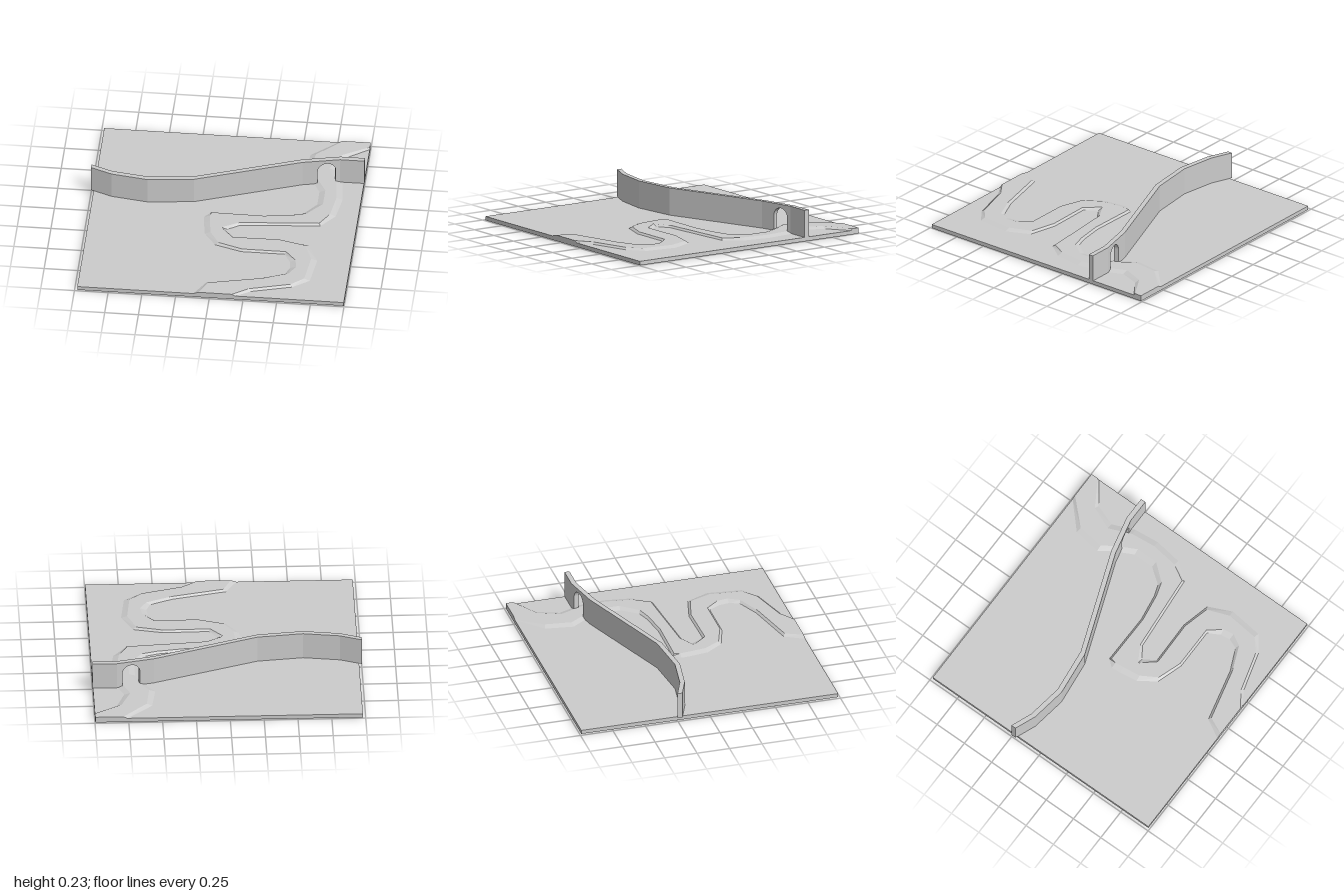
import * as THREE from 'three';

const GROUND = 0.03, PATH_TOP = 0.044, WALL_TOP = 0.235;
const X0 = -0.98, X1 = 0.997, ZE = 0.988;
const material = new THREE.MeshStandardMaterial({ color: 0xcccccc, flatShading: true });

function mesh(name, geometry) {
  const m = new THREE.Mesh(geometry, material);
  m.name = name;
  return m;
}

// Foot of each bank as [x, z]: left side north to south, right side south to north
const leftBank = [[0.76, -ZE], [0.57, -0.81], [0.54, -0.6], [0.61, -0.5], [0.68, -0.36], [0.68, -0.2],
  [0.59, -0.08], [0.5, -0.05], [0.3, -0.02], [-0.09, -0.025], [-0.135, 0.03], [-0.13, 0.1], [-0.11, 0.24],
  [-0.02, 0.37], [0.18, 0.435], [0.5, 0.435], [0.55, 0.525], [0.56, 0.6], [0.53, 0.675], [0.36, 0.75],
  [-0.04, 0.845], [-0.12, ZE]];
const rightBank = [[0.19, ZE], [0.3, 0.92], [0.6, 0.835], [0.72, 0.745], [0.75, 0.49], [0.67, 0.315],
  [0.45, 0.26], [0.11, 0.265], [0.05, 0.17], [0.14, 0.11], [0.73, 0.06], [0.83, -0.07], [0.86, -0.28],
  [0.84, -0.47], [0.77, -0.64], [0.83, -0.8], [X1, -0.92]];

// Top edge of a bank: moved inwards, but kept on the plate's border
function insetBank(bank) {
  return bank.map(([x, z], i) => {
    const a = bank[Math.max(i - 1, 0)], b = bank[Math.min(i + 1, bank.length - 1)];
    const dx = b[0] - a[0], dz = b[1] - a[1], len = Math.hypot(dx, dz);
    return [
      x === X1 ? x : x + 0.045 * dz / len,
      Math.abs(z) === ZE ? z : z - 0.015 * dx / len,
    ];
  });
}

// Raised winding bed with sloping banks
function windingBed() {
  const corner = [X1, -ZE];
  const foot = [...leftBank, ...rightBank, corner];
  const crest = [...insetBank(leftBank), ...insetBank(rightBank), corner];
  const group = new THREE.Group();
  group.name = 'windingBed';

  const shape = new THREE.Shape(crest.map(([x, z]) => new THREE.Vector2(x, -z)));
  const top = new THREE.ShapeGeometry(shape);
  top.rotateX(-Math.PI / 2).translate(0, PATH_TOP, 0);
  group.add(mesh('bedTop', top));

  const pos = [];
  foot.forEach((p, i) => {
    const j = (i + 1) % foot.length;
    const a = [p[0], GROUND, p[1]], b = [foot[j][0], GROUND, foot[j][1]];
    const c = [crest[j][0], PATH_TOP, crest[j][1]], d = [crest[i][0], PATH_TOP, crest[i][1]];
    pos.push(...a, ...b, ...c, ...a, ...c, ...d);
  });
  const banks = new THREE.BufferGeometry();
  banks.setAttribute('position', new THREE.Float32BufferAttribute(pos, 3));
  banks.computeVertexNormals();
  group.add(mesh('bedBanks', banks));
  return group;
}

// One straight stretch of wall, drawn in x-y and sheared along its line in z
function wallSection([xa, za], [xb, zb], arch) {
  const s = new THREE.Shape();
  s.moveTo(xa, GROUND);
  if (arch) {
    s.lineTo(arch.x - arch.r, GROUND);
    s.lineTo(arch.x - arch.r, arch.spring);
    s.absarc(arch.x, arch.spring, arch.r, Math.PI, 0, true);
    s.lineTo(arch.x + arch.r, GROUND);
  }
  s.lineTo(xb, GROUND);
  s.lineTo(xb, WALL_TOP);
  s.lineTo(xa, WALL_TOP);
  s.closePath();
  const depth = 0.038, slope = (zb - za) / (xb - xa);
  const g = new THREE.ExtrudeGeometry(s, { depth, bevelEnabled: false, curveSegments: 16 });
  g.translate(0, 0, -depth / 2);
  const p = g.attributes.position;
  for (let i = 0; i < p.count; i++) {
    let x = p.getX(i);
    const z = p.getZ(i);
    // the opening runs square to the wall
    if (x > xa + 0.01 && x < xb - 0.01) x -= slope * z;
    p.setXYZ(i, x, p.getY(i), z + za + slope * (x - xa));
  }
  g.computeVertexNormals();
  return mesh(arch ? 'wallArch' : 'wallSection', g);
}

export function createModel() {
  const model = new THREE.Group();
  model.name = 'wallAndWindingBed';

  // Ground plate
  const plate = new THREE.BoxGeometry(X1 - X0, GROUND, 2 * ZE);
  plate.translate((X0 + X1) / 2, GROUND / 2, 0);
  model.add(mesh('groundPlate', plate));

  model.add(windingBed());

  // Curving wall with an arched opening over the bed
  const line = [[-1, -0.235], [-0.84, -0.17], [-0.57, -0.128], [-0.23, -0.166], [0.545, -0.455],
    [0.82, -0.517], [1, -0.517]];
  const wall = new THREE.Group();
  wall.name = 'wall';
  for (let i = 0; i < line.length - 1; i++) {
    const arch = i === 4 ? { x: 0.718, r: 0.065, spring: 0.142 } : null;
    wall.add(wallSection(line[i], line[i + 1], arch));
  }
  model.add(wall);
  return model;
}
